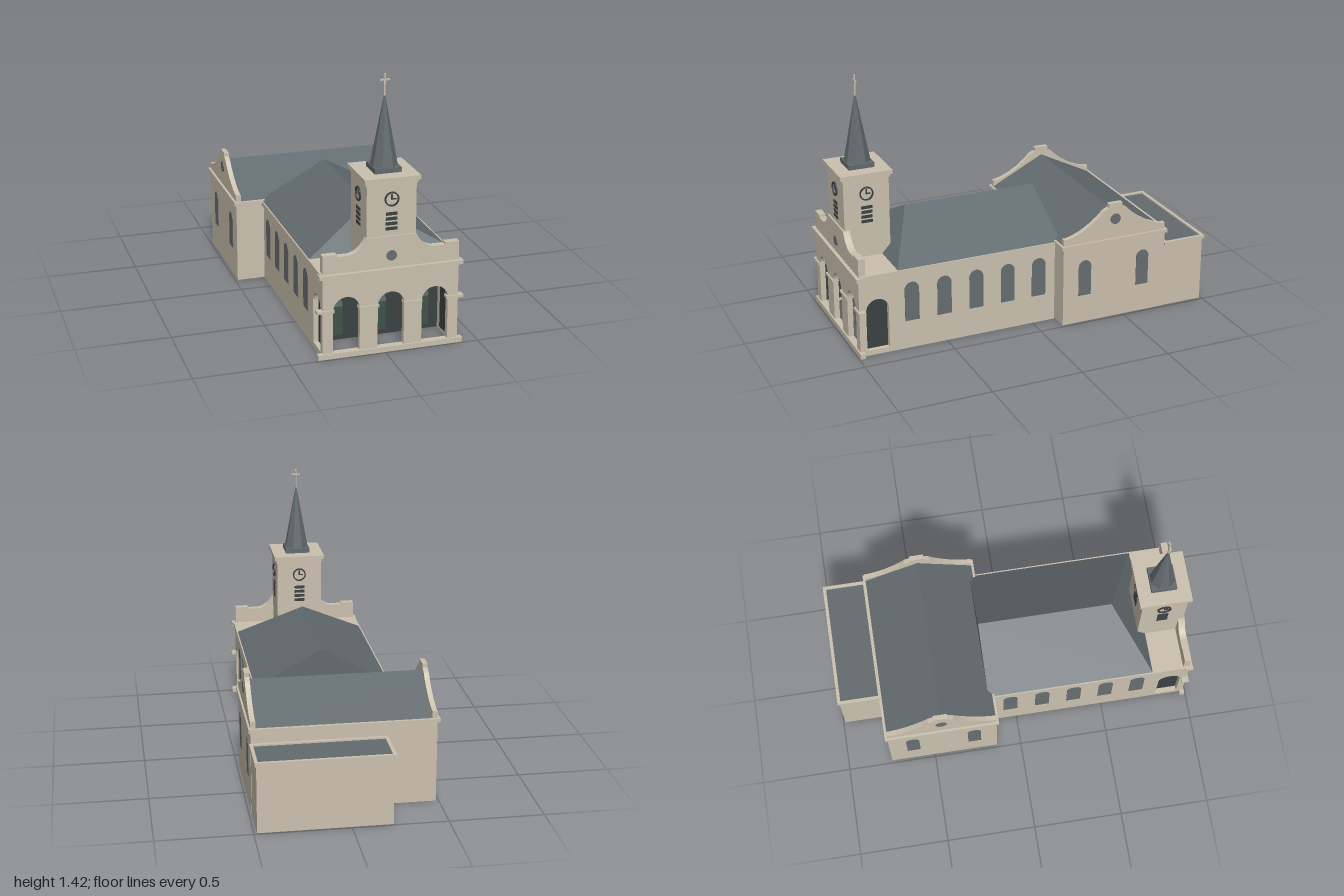
import * as THREE from 'three';

const mat = (name, color, side = THREE.FrontSide) => {
  const m = new THREE.MeshStandardMaterial({ color, side });
  m.name = name;
  return m;
};

export function createModel() {
  const root = new THREE.Group();
  root.name = 'church';
  const stone = mat('stone', 0xcbc1af);
  const slate = mat('roofSlate', 0x626b6f, THREE.DoubleSide);
  const dark = mat('darkIron', 0x3b4242);
  const glass = mat('glass', 0x686e70);
  const green = mat('greenDoor', 0x3f5549);

  const add = (name, geo, m, parent = root) => {
    const mesh = new THREE.Mesh(geo, m);
    mesh.name = name;
    parent.add(mesh);
    return mesh;
  };
  // Box given by its limits
  const box = (name, m, x0, x1, y0, y1, z0, z1, parent) => {
    const b = add(name, new THREE.BoxGeometry(x1 - x0, y1 - y0, z1 - z0), m, parent);
    b.position.set((x0 + x1) / 2, (y0 + y1) / 2, (z0 + z1) / 2);
    return b;
  };
  const poly = (pts) => new THREE.Shape(pts.map(([x, y]) => new THREE.Vector2(x, y)));
  const rect = (x0, x1, y0, y1) => poly([[x0, y0], [x1, y0], [x1, y1], [x0, y1]]);
  const extrude = (shape, depth) =>
    new THREE.ExtrudeGeometry(shape, { depth, bevelEnabled: false, curveSegments: 12 });
  // Round-headed opening: centre, half width, sill and crown
  const arch = (c, r, y0, y1) => {
    const s = new THREE.Shape();
    s.moveTo(c - r, y0);
    s.lineTo(c + r, y0);
    s.lineTo(c + r, y1 - r);
    s.absarc(c, y1 - r, r, 0, Math.PI, false);
    s.lineTo(c - r, y0);
    return s;
  };
  // Hollow rectangular ring, open above and below
  const ring = (name, x0, x1, z0, z1, y0, y1, t) => {
    const s = rect(x0, x1, -z1, -z0);
    s.holes.push(rect(x0 + t, x1 - t, -z1 + t, -z0 - t));
    const m = add(name, extrude(s, y1 - y0), stone);
    m.rotation.x = -Math.PI / 2;
    m.position.y = y0;
  };
  // Group turned to a side wall: local x runs along the wall, local z points outward
  const sideGroup = (name, x, side) => {
    const g = new THREE.Group();
    g.name = name;
    g.position.x = x;
    g.rotation.y = side * Math.PI / 2;
    root.add(g);
    return g;
  };
  // Flat polygons fanned into triangles
  const roof = (name, polys) => {
    const v = [];
    for (const p of polys)
      for (let i = 1; i < p.length - 1; i++) v.push(...p[0], ...p[i], ...p[i + 1]);
    const g = new THREE.BufferGeometry();
    g.setAttribute('position', new THREE.Float32BufferAttribute(v, 3));
    g.computeVertexNormals();
    add(name, g, slate);
  };

  // Hollow walls and cornices
  ring('naveWalls', -0.33, 0.39, -0.13, 0.77, 0, 0.44, 0.01);
  ring('naveCornice', -0.342, 0.402, -0.13, 0.98, 0.435, 0.46, 0.03);
  ring('transeptWalls', -0.485, 0.485, -0.75, -0.137, 0, 0.45, 0.01);
  ring('transeptCornice', -0.498, 0.495, -0.762, -0.125, 0.445, 0.466, 0.045);
  ring('rearWalls', -0.215, 0.483, -0.99, -0.75, 0, 0.37, 0.01);
  ring('rearCornice', -0.225, 0.492, -1, -0.75, 0.365, 0.385, 0.018);

  // Roofs
  const L = -0.335, R = 0.395, C = 0.03, e = 0.46, h = 0.66;
  roof('naveRoof', [
    [[L, e, 0.77], [C, h, 0.59], [C, h, -0.16], [L, e, -0.16]],
    [[R, e, 0.77], [R, e, -0.16], [C, h, -0.16], [C, h, 0.59]],
    [[L, e, 0.77], [R, e, 0.77], [C, h, 0.59]],
    [[R, e, -0.16], [L, e, -0.16], [C, h, -0.16]],
  ]);
  roof('transeptRoof', [
    [[-0.462, 0.467, -0.138], [0.462, 0.467, -0.138], [0.462, 0.62, -0.443], [-0.462, 0.62, -0.443]],
    [[0.462, 0.467, -0.748], [-0.462, 0.467, -0.748], [-0.462, 0.62, -0.443], [0.462, 0.62, -0.443]],
  ]);
  roof('rearRoof', [[[-0.21, 0.376, -0.755], [-0.21, 0.376, -0.985], [0.475, 0.376, -0.985], [0.475, 0.376, -0.755]]]);

  // Side walls: windows, transept gables and porch side arches
  const half = [[0.305, 0.503], [0.285, 0.503], [0.25, 0.512], [0.2, 0.532], [0.15, 0.562],
    [0.1, 0.6], [0.07, 0.63], [0.04, 0.645], [0.04, 0.668]];
  for (const s of [1, -1]) {
    const nave = sideGroup('naveSide', s > 0 ? 0.39 : -0.33, s);
    for (let i = 0; i < 5; i++)
      add('naveWindow', extrude(arch(-s * (0.694 - i * 0.182), 0.04, 0.16, 0.38), 0.003), glass, nave);

    const porch = rect(Math.min(-s * 0.77, -s * 0.985), Math.max(-s * 0.77, -s * 0.985), 0, 0.44);
    porch.holes.push(arch(-s * 0.885, 0.062, 0.028, 0.317));
    add('porchSideWall', extrude(porch, 0.03), stone, nave).position.z = -0.03;
    add('porchSideDoor', extrude(arch(-s * 0.885, 0.064, 0.02, 0.319), 0.006), dark, nave).position.z = -0.033;

    const wing = sideGroup('transeptSide', s * 0.485, s);
    for (const z of [-0.265, -0.614])
      add('transeptWindow', extrude(arch(-s * z, 0.037, 0.16, 0.365), 0.003), glass, wing);
    const outline = [[-0.305, 0.46], [0.305, 0.46], ...half, ...half.map(([a, b]) => [-a, b]).reverse()];
    const gable = add('transeptGable', extrude(poly(outline), 0.027), stone, wing);
    gable.position.set(s * 0.443, 0, -0.027);
    const oculus = add('gableOculus', new THREE.CylinderGeometry(0.03, 0.03, 0.008, 24), glass, wing);
    oculus.rotation.x = Math.PI / 2;
    oculus.position.set(s * 0.443, 0.578, 0);
  }

  // Arcaded front
  const arches = [-0.205, 0.03, 0.265];
  const front = rect(-0.33, 0.39, 0, 0.44);
  for (const c of arches) front.holes.push(arch(c, 0.07, 0.028, 0.325));
  add('frontWall', extrude(front, 0.03), stone).position.z = 0.955;
  box('frontBase', stone, -0.355, 0.415, 0, 0.028, 0.965, 0.993);
  box('frontCornice', stone, -0.35, 0.41, 0.434, 0.455, 0.955, 1);
  for (const [a, b] of [[-0.36, -0.27], [-0.14, -0.035], [0.095, 0.195], [0.325, 0.417]])
    box('impost', stone, a, b, 0.25, 0.264, 0.955, 0.994);
  box('porchDeck', stone, -0.335, 0.395, 0.445, 0.46, 0.765, 0.98);

  // Porch back wall with doors and fanlights
  box('porchBackWall', dark, -0.32, 0.38, 0, 0.44, 0.771, 0.778);
  for (const c of arches) {
    box('door', green, c - 0.043, c + 0.043, 0.028, 0.185, 0.778, 0.784);
    add('fanlight', extrude(arch(c, 0.043, 0.185, 0.237), 0.005), glass).position.z = 0.778;
  }

  // Curved parapet over the front
  const para = new THREE.Shape();
  para.moveTo(-0.33, 0.455);
  para.lineTo(0.39, 0.455);
  para.lineTo(0.39, 0.555);
  para.lineTo(0.315, 0.555);
  para.lineTo(0.315, 0.543);
  para.lineTo(0.255, 0.543);
  para.quadraticCurveTo(0.195, 0.55, 0.16, 0.622);
  para.lineTo(-0.1, 0.622);
  para.quadraticCurveTo(-0.135, 0.55, -0.195, 0.543);
  para.lineTo(-0.255, 0.543);
  para.lineTo(-0.255, 0.555);
  para.lineTo(-0.33, 0.555);
  add('frontParapet', extrude(para, 0.037), stone).position.z = 0.945;
  const rose = add('frontOculus', new THREE.CylinderGeometry(0.027, 0.027, 0.008, 24), glass);
  rose.rotation.x = Math.PI / 2;
  rose.position.set(0.03, 0.52, 0.982);

  // Bell tower, centred on its own axis
  const tower = new THREE.Group();
  tower.name = 'bellTower';
  tower.position.set(0.03, 0, 0.848);
  root.add(tower);
  box('towerShaft', stone, -0.13, 0.13, 0.455, 0.895, -0.125, 0.125, tower);
  box('towerLowerCornice', stone, -0.136, 0.136, 0.89, 0.91, -0.131, 0.131, tower);
  box('towerUpperCornice', stone, -0.146, 0.146, 0.908, 0.93, -0.143, 0.143, tower);
  box('spireBase', slate, -0.07, 0.07, 0.93, 0.956, -0.07, 0.07, tower);
  const spireGeo = new THREE.CylinderGeometry(0.002, 0.07, 0.365, 8, 1).toNonIndexed();
  spireGeo.computeVertexNormals();
  const spire = add('spire', spireGeo, slate, tower);
  spire.position.y = 1.138;
  spire.rotation.y = Math.PI / 8;
  box('crossPost', stone, -0.004, 0.004, 1.31, 1.422, -0.004, 0.004, tower);
  box('crossArm', stone, -0.025, 0.025, 1.386, 1.394, -0.004, 0.004, tower);

  // Clock and louvres on each tower face
  for (let i = 0; i < 4; i++) {
    const face = new THREE.Group();
    face.name = 'towerFace';
    face.rotation.y = i * Math.PI / 2;
    tower.add(face);
    const d = i % 2 ? 0.13 : 0.125;
    const rim = new THREE.Shape().absarc(0, 0.815, 0.038, 0, Math.PI * 2, false);
    rim.holes.push(new THREE.Path().absarc(0, 0.815, 0.031, 0, Math.PI * 2, true));
    add('clockRim', extrude(rim, 0.008), dark, face).position.z = d;
    box('minuteHand', dark, -0.003, 0.003, 0.812, 0.84, d, d + 0.006, face);
    box('hourHand', dark, -0.003, 0.022, 0.812, 0.818, d, d + 0.006, face);
    for (let k = 0; k < 4; k++)
      box('louvre', dark, -0.03, 0.03, 0.652 + k * 0.026, 0.668 + k * 0.026, d, d + 0.004, face);
  }
  return root;
}
